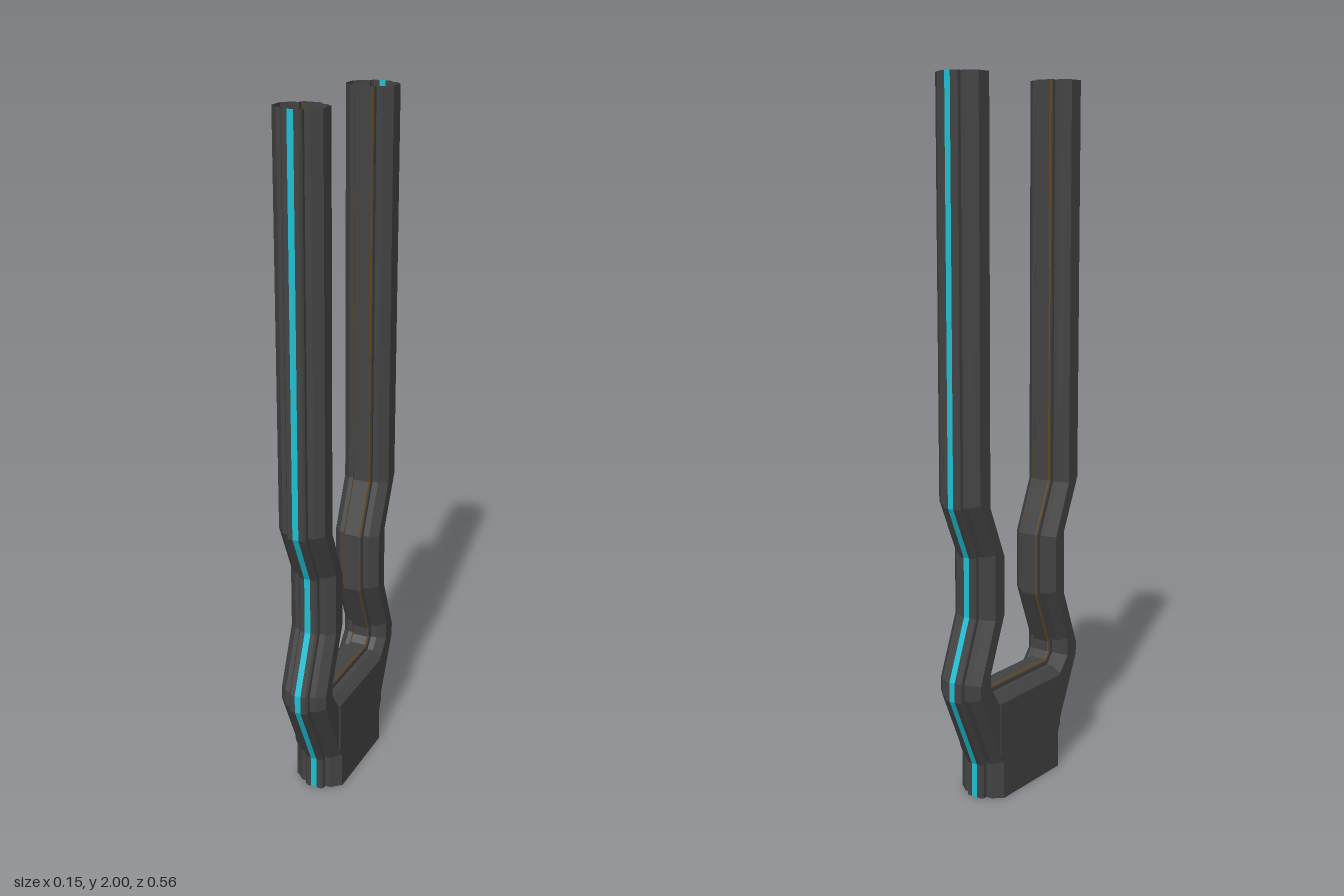
import * as THREE from 'three';

const mat = (name, color) => {
  const m = new THREE.MeshStandardMaterial({ color, side: THREE.DoubleSide, flatShading: true });
  m.name = name;
  return m;
};

// Silhouette of the fork as [z, y] polylines; the solid lies to the left of travel
const outerFront = [[0.178, 0], [0.178, 0.1], [0.278, 0.315], [0.278, 0.37], [0.21, 0.54],
  [0.21, 0.71], [0.278, 0.86], [0.278, 2]];
const innerFront = [[0.153, 2], [0.153, 0.865], [0.088, 0.715], [0.088, 0.535], [0.153, 0.375],
  [0.153, 0.345], [0.136, 0.325]];
const mirrorPath = (path) => path.map(([z, y]) => [-z, y]).reverse();
const outerBack = mirrorPath(outerFront);
const inner = [...innerFront, ...mirrorPath(innerFront)];

// Mitred inward offset of an open polyline
function offset(path, d) {
  const normals = path.slice(1).map(([z, y], i) => {
    const dz = z - path[i][0], dy = y - path[i][1], l = Math.hypot(dz, dy);
    return [-dy / l, dz / l];
  });
  return path.map(([z, y], i) => {
    const a = normals[Math.max(i - 1, 0)], b = normals[Math.min(i, normals.length - 1)];
    const k = d / (1 + a[0] * b[0] + a[1] * b[1]);
    return [z + (a[0] + b[0]) * k, y + (a[1] + b[1]) * k];
  });
}

// Sweeps a cross-section of [x, depth] points along a silhouette path
function sweep(path, profile) {
  const pos = [], index = [], n = path.length;
  for (const [x, d] of profile) {
    for (const [z, y] of offset(path, d)) pos.push(x, y, z);
  }
  for (let j = 0; j < profile.length - 1; j++) {
    for (let i = 0; i < n - 1; i++) {
      const a = j * n + i, b = a + n;
      index.push(a, b, b + 1, a, b + 1, a + 1);
    }
  }
  const g = new THREE.BufferGeometry();
  g.setAttribute('position', new THREE.Float32BufferAttribute(pos, 3));
  g.setIndex(index);
  const flat = g.toNonIndexed();
  flat.computeVertexNormals();
  return flat;
}

export function createModel() {
  const group = new THREE.Group();
  const body = mat('dark grey', 0x434343);
  const glow = mat('cyan', 0x1fc0d4);
  const trim = mat('dark gold', 0x6b4a14);
  const add = (name, geometry, material) => {
    const m = new THREE.Mesh(geometry, material);
    m.name = name;
    group.add(m);
    return m;
  };
  const mirrorProfile = (p) => p.map(([x, d]) => [-x, d]).reverse();

  // Ridge shoulders and bevelled edges shared by every rim
  const shoulder = [[0.026, 0.003], [0.029, 0.007], [0.029, 0.018], [0.047, 0.018], [0.07, 0.04]];
  const ridge = [[0.009, 0], [0.023, 0], [0.026, 0.003]];

  // Outer rims, each with a glowing centre stripe
  for (const [side, path] of [['front', outerFront], ['back', outerBack]]) {
    const half = [...ridge, ...shoulder.slice(1)];
    add(side + 'OuterRimLeft', sweep(path, half), body);
    add(side + 'OuterRimRight', sweep(path, mirrorProfile(half)), body);
    add(side + 'GlowStripe', sweep(path, [[-0.009, 0], [0.009, 0]]), glow);
  }

  // Inner rim between the prongs, with fine trim along the ridge edges
  add('innerRidge', sweep(inner, [[-0.023, 0], [0.023, 0]]), body);
  const edge = [[0.023, 0], [0.026, 0.003]];
  for (const [side, flip] of [['Left', (p) => p], ['Right', mirrorProfile]]) {
    add('innerTrim' + side, sweep(inner, flip(edge)), trim);
    add('innerRim' + side, sweep(inner, flip(shoulder)), body);
  }

  // Flat cheeks joining the rims, and thin plates over the base
  const outline = [outerFront, inner, outerBack].flatMap((p) => offset(p, 0.04));
  const toShape = (pts) => new THREE.Shape(pts.map(([z, y]) => new THREE.Vector2(z, y)));
  const plate = [[-0.138, 0], [0.138, 0], [0.138, 0.108], [0.149, 0.132], [0.149, 0.284],
    [-0.149, 0.284], [-0.149, 0.132], [-0.138, 0.108]];
  for (const s of [-1, 1]) {
    const side = s > 0 ? 'left' : 'right';
    const cheek = add(side + 'Cheek', new THREE.ShapeGeometry(toShape(outline)), body);
    cheek.rotation.y = s * Math.PI / 2;
    cheek.position.x = s * 0.07;
    const cover = add(side + 'BasePlate',
      new THREE.ExtrudeGeometry(toShape(plate), { depth: 0.004, bevelEnabled: false }), body);
    cover.rotation.y = s * Math.PI / 2;
    cover.position.x = s * 0.07;
  }
  return group;
}
